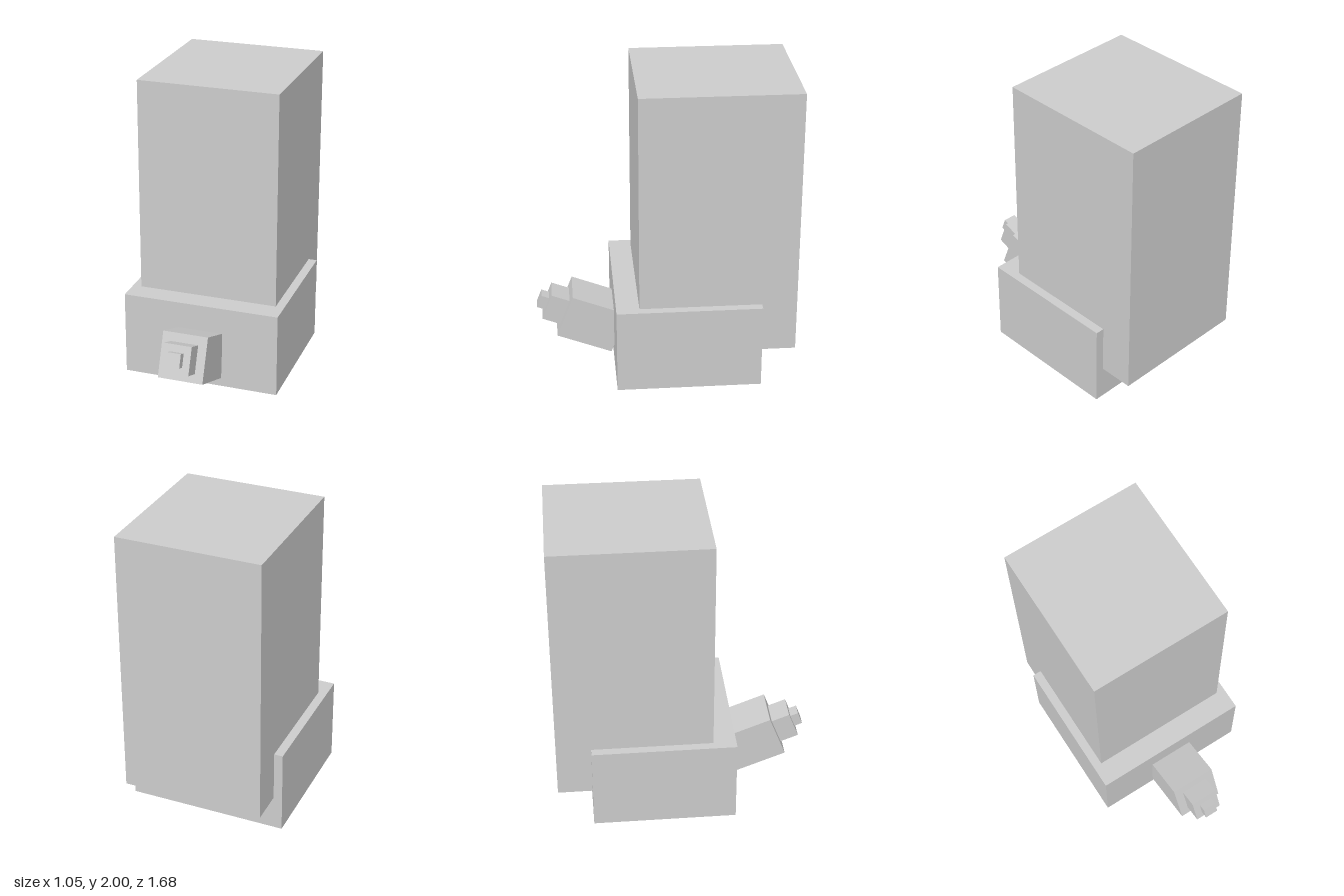
import * as THREE from 'three';

export function createModel() {
  const model = new THREE.Group();
  const grey = new THREE.MeshStandardMaterial({ color: 0xcccccc });
  grey.name = 'light grey';

  // Box given by its extents on each axis
  function block(name, [x0, x1], [y0, y1], [z0, z1], parent = model) {
    const mesh = new THREE.Mesh(new THREE.BoxGeometry(x1 - x0, y1 - y0, z1 - z0), grey);
    mesh.name = name;
    mesh.position.set((x0 + x1) / 2, (y0 + y1) / 2, (z0 + z1) / 2);
    parent.add(mesh);
  }

  // Tall body, overhanging the base at the back
  block('tower', [-0.47, 0.467], [0.23, 2], [-0.84, 0.18]);
  block('base', [-0.528, 0.525], [0, 0.565], [-0.612, 0.33]);

  // Stepped nozzle, tilted upward; its origin is the front of the largest step
  const nozzle = new THREE.Group();
  nozzle.name = 'nozzle';
  nozzle.position.set(-0.002, 0.35, 0.655);
  nozzle.rotation.x = -THREE.MathUtils.degToRad(21.3);
  model.add(nozzle);

  const steps = [
    ['nozzleBody', 0.151, -0.386, 0],
    ['nozzleCollar', 0.0925, 0, 0.126],
    ['nozzleTip', 0.045, 0.126, 0.181],
  ];
  for (const [name, half, back, front] of steps) {
    block(name, [-half, half], [-half, half], [back, front], nozzle);
  }

  return model;
}
